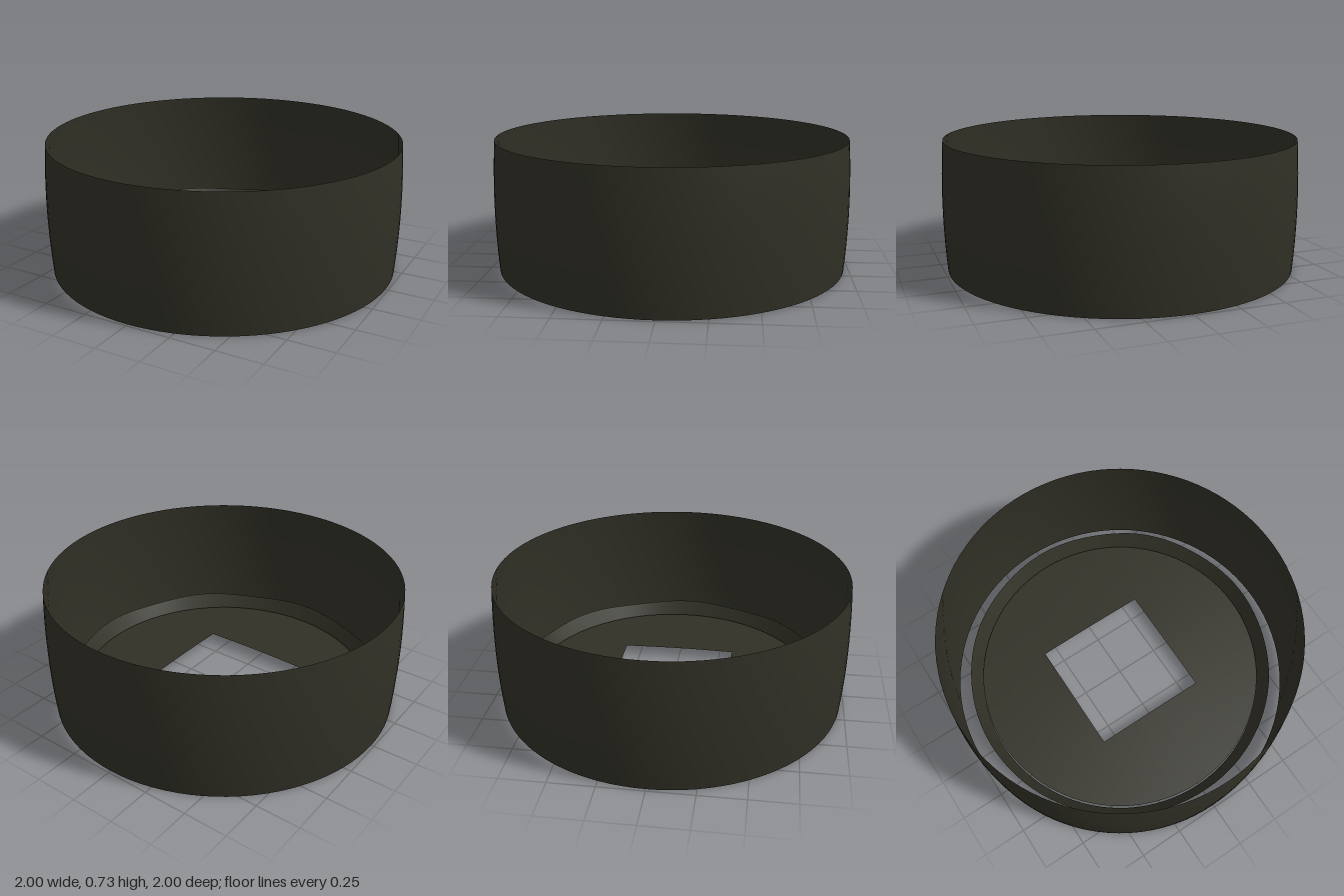
import * as THREE from 'three';

const darkOlive = new THREE.MeshStandardMaterial({ color: 0x313026, side: THREE.DoubleSide });
darkOlive.name = 'darkOlive';

const HEIGHT = 0.73;      // wall height
const HOLE = 0.332;       // half side of the square hole
const PLATE_RADIUS = 0.836;

function part(name, geometry) {
  const mesh = new THREE.Mesh(geometry, darkOlive);
  mesh.name = name;
  return mesh;
}

// Thin open band, bulging slightly at mid height
function outerWall() {
  const profile = [];
  for (let i = 0; i <= 12; i++) {
    const t = i / 12;
    profile.push(new THREE.Vector2(0.985 + 0.015 * (1 - (2 * t - 1) ** 2), t * HEIGHT));
  }
  return part('outerWall', new THREE.LatheGeometry(profile, 96));
}

// Short flared collar around the plate, with a gently wavy upper edge
function flaredCollar() {
  const profile = [];
  for (let i = 0; i <= 4; i++) {
    const t = i / 4;
    profile.push(new THREE.Vector2(0.84 + 0.06 * t, 0.113 * t));
  }
  const geometry = new THREE.LatheGeometry(profile, 96);
  const p = geometry.attributes.position;
  for (let i = 0; i < p.count; i++) {
    const angle = Math.atan2(p.getZ(i), p.getX(i));
    const lift = 1 + 0.06 * Math.cos(8 * angle);
    p.setY(i, p.getY(i) * lift);
  }
  geometry.computeVertexNormals();
  return part('flaredCollar', geometry);
}

// Shallow domed plate: rings blend from the square hole to the round rim
function basePlate() {
  const geometry = new THREE.RingGeometry(1, 2, 96, 6);
  geometry.rotateX(-Math.PI / 2);
  const p = geometry.attributes.position;
  for (let i = 0; i < p.count; i++) {
    const x = p.getX(i), z = p.getZ(i);
    const r = Math.hypot(x, z);
    const squareRadius = HOLE * r / Math.max(Math.abs(x), Math.abs(z));
    const radius = THREE.MathUtils.lerp(squareRadius, PLATE_RADIUS, r - 1);
    p.setXYZ(i, x / r * radius, 0.075 - 0.036 * radius, z / r * radius);
  }
  geometry.computeVertexNormals();
  return part('basePlate', geometry);
}

export function createModel() {
  const group = new THREE.Group();
  group.name = 'openRing';
  group.add(outerWall(), flaredCollar(), basePlate());
  return group;
}
